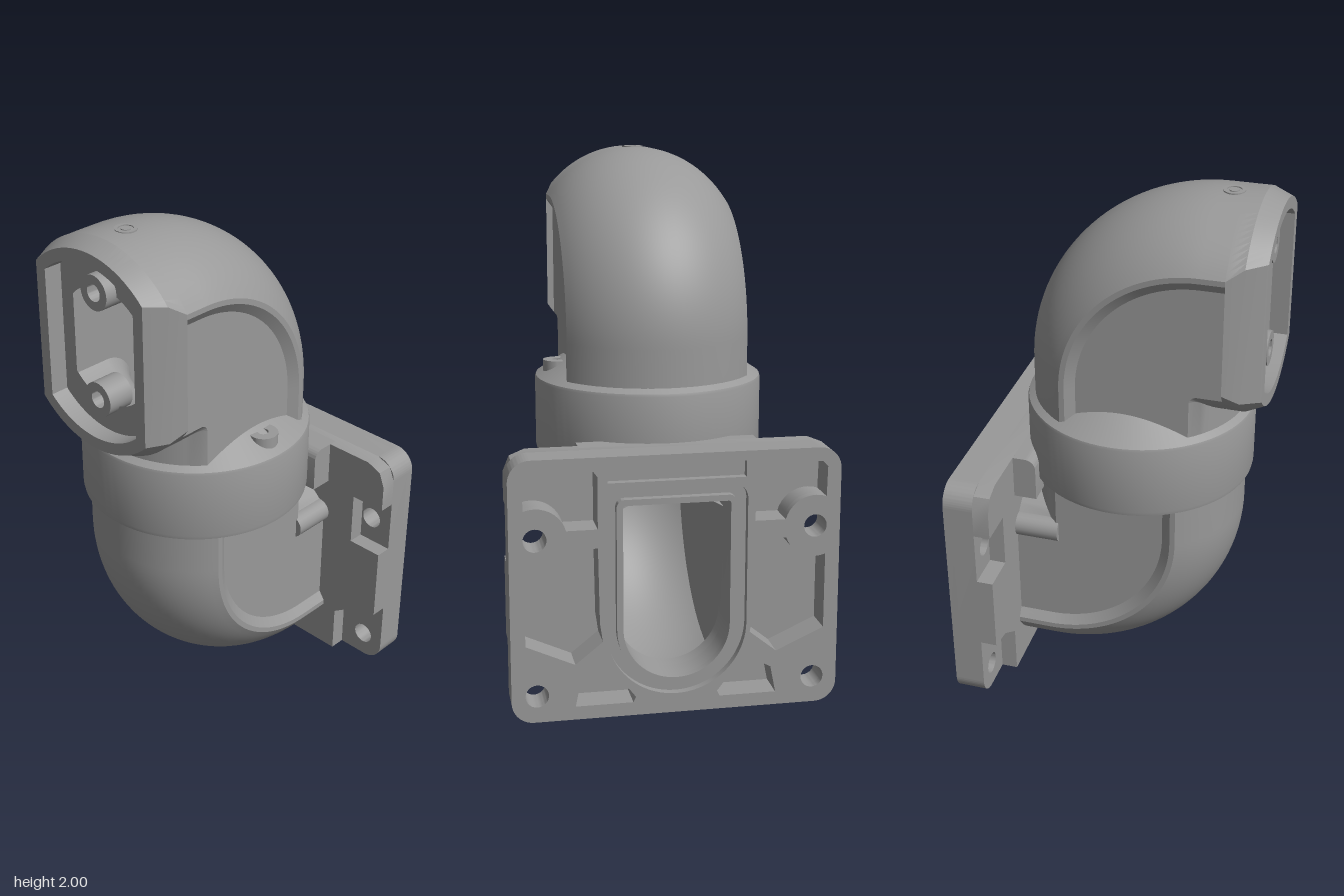
import * as THREE from 'three';
import { toCreasedNormals } from 'three/addons/utils/BufferGeometryUtils.js';

const AXIS = -0.045;   // x of the upright pipe axis
const BEND = 0.285;    // bend radius of both elbows
const MOUTH_Y = 1.59;  // height of the upper outlet axis

// Half-round arc of a pipe section as [u, z]; side +1 is the outside of the bend
function arc(rad, clip, side, n = 28) {
  const a = Math.asin(clip / rad), pts = [];
  for (let i = 0; i <= n; i++) {
    const t = side * (a - (2 * a * i) / n);
    pts.push([side * rad * Math.cos(t), rad * Math.sin(t)]);
  }
  return pts;
}
// Circle cut off by two flat sides
const section = (rad, clip) => [...arc(rad, clip, 1), ...arc(rad, clip, -1)];
// The same with the flats sunk behind a lip on the outside of the bend
const lippedSection = () => [
  ...arc(0.405, 0.34, 1), [0.2, -0.34], [0.165, -0.315],
  ...arc(0.405, 0.315, -1), [0.165, 0.315], [0.2, 0.34],
];

// Skin over a list of closed rings
function loft(rings) {
  const n = rings[0].length, pos = [], idx = [];
  rings.forEach(r => r.forEach(p => pos.push(...p)));
  for (let i = 0; i < rings.length - 1; i++) {
    for (let j = 0; j < n; j++) {
      const a = i * n + j, b = i * n + (j + 1) % n;
      idx.push(a, b, b + n, a, b + n, a + n);
    }
  }
  const g = new THREE.BufferGeometry();
  g.setAttribute('position', new THREE.Float32BufferAttribute(pos, 3));
  g.setIndex(idx);
  return toCreasedNormals(g, 0.4);
}

// Quarter bend whose inner side meets in a mitre; s = 1 upper, -1 lower
function elbow(sec, cx, cy, s, yStart, xEnd, steps = 32) {
  const rings = [sec.map(([u, z]) => [cx + s * (BEND + u), yStart, z])];
  for (let i = 0; i <= steps; i++) {
    const t = (Math.PI / 2) * (i / steps), c = Math.cos(t), d = Math.sin(t);
    rings.push(sec.map(([u, z]) => {
      const r = BEND + u;
      return r >= 0 ? [cx + s * r * c, cy + s * r * d, z] : [cx + s * r, cy + s * r, z];
    }));
  }
  rings.push(sec.map(([u, z]) => {
    const corner = cx + s * Math.min(BEND + u, 0);
    return [s > 0 ? Math.min(xEnd, corner) : Math.max(xEnd, corner), cy + s * (BEND + u), z];
  }));
  return loft(rings);
}

// Flange outlines, drawn with z across and y up
const BOLT_Z = 0.508, BOLT_YS = [0.1, 0.68];
const path = (pts, m = 1) => new THREE.Path(pts.map(([z, y]) => new THREE.Vector2(z * m, y)));
function bossArc(from, to) {
  const pts = [];
  for (let i = 0; i <= 10; i++) {
    const t = THREE.MathUtils.degToRad(from + ((to - from) * i) / 10);
    pts.push([BOLT_Z + 0.115 * Math.cos(t), 0.68 + 0.115 * Math.sin(t)]);
  }
  return pts;
}
function plateOutline() {
  const s = new THREE.Shape(), r = 0.08, w = 0.6, h = 0.97;
  s.absarc(w - r, r, r, -Math.PI / 2, 0);
  s.absarc(w - r, h - r, r, 0, Math.PI / 2);
  s.absarc(r - w, h - r, r, Math.PI / 2, Math.PI);
  s.absarc(r - w, r, r, Math.PI, Math.PI * 1.5);
  s.closePath();
  return s;
}
function uOutline(r, top, corner, Type = THREE.Path) {
  const s = new Type();
  s.absarc(0, 0.33, r, Math.PI, Math.PI * 2);
  s.absarc(r - corner, top - corner, corner, 0, Math.PI / 2);
  s.absarc(corner - r, top - corner, corner, Math.PI / 2, Math.PI);
  s.closePath();
  return s;
}
function ringShape(outer, inner) {
  const s = new THREE.Shape().absarc(0, 0, outer, 0, Math.PI * 2);
  s.holes.push(new THREE.Path().absarc(0, 0, inner, 0, Math.PI * 2));
  return s;
}
// Bolt holes and weight-saving pockets on both sides
function flangeHoles() {
  const holes = [];
  for (const m of [1, -1]) {
    for (const y of BOLT_YS) {
      holes.push(new THREE.Path().absarc(m * BOLT_Z, y, 0.042, 0, Math.PI * 2));
    }
    holes.push(path([[0.55, 0.9], [0.53, 0.92], [0.3, 0.92], [0.285, 0.9], [0.285, 0.71], ...bossArc(165, 70)], m));
    holes.push(path([[0.285, 0.64], [0.28, 0.36], [0.27, 0.29], [0.37, 0.21], [0.547, 0.29], ...bossArc(290, 200)], m));
    holes.push(path([[0.25, 0.2], [0.35, 0.15], [0.37, 0.05], [0.16, 0.05], [0.15, 0.07]], m));
  }
  return holes;
}

export function createModel() {
  const model = new THREE.Group();
  const grey = new THREE.MeshStandardMaterial({ color: 0x999999, side: THREE.DoubleSide });
  grey.name = 'grey metal';
  const add = (name, geo, x = 0, y = 0, z = 0) => {
    const mesh = new THREE.Mesh(geo, grey);
    mesh.name = name;
    mesh.position.set(x, y, z);
    model.add(mesh);
    return mesh;
  };
  // Extrude a z/y outline along x
  const slab = (name, shape, x0, x1, y = 0, z = 0) => {
    const g = new THREE.ExtrudeGeometry(shape, { depth: x1 - x0, bevelEnabled: false, curveSegments: 20 });
    add(name, toCreasedNormals(g.rotateY(Math.PI / 2), 0.5), x0, y, z);
  };

  // Elbows, outside and inside
  const up = [AXIS - BEND, MOUTH_Y - BEND, 1], low = [AXIS + BEND, 0.7, -1];
  add('upperElbow', elbow(lippedSection(), ...up, 1.0, -0.42));
  add('upperElbowBore', elbow(section(0.24, 0.17), ...up, 1.06, -0.478));
  add('lowerElbow', elbow(lippedSection(), ...low, 1.0, 0.4));
  add('lowerElbowBore', elbow(section(0.375, 0.195), ...low, 1.04, 0.43));

  // Upper outlet: floor, pocket wall, rim and tapered outside
  const mouth = [
    [-0.48, 0.22, 0.16], [-0.48, 0.33, 0.22], [-0.55, 0.33, 0.22], [-0.55, 0.375, 0.265],
    [-0.48, 0.405, 0.312], [-0.42, 0.405, 0.34], [-0.42, 0.38, 0.28],
  ];
  add('outletRim', loft(mouth.map(([x, rad, clip]) =>
    section(rad, clip).map(([u, z]) => [x, MOUTH_Y + u, z]))));
  for (const dy of [0.22, -0.19]) {
    slab('outletScrewBoss', ringShape(0.065, 0.032), -0.525, -0.42, MOUTH_Y + dy);
  }

  // Swivel collar with sloped shoulders
  const collar = [[0.3, 0.775], [0.43, 0.865], [0.433, 0.88], [0.433, 1.14], [0.43, 1.15], [0.3, 1.235]]
    .map(p => new THREE.Vector2(...p));
  add('collar', toCreasedNormals(new THREE.LatheGeometry(collar, 72), 0.4), AXIS);
  add('collarPartition', new THREE.CylinderGeometry(0.4, 0.4, 0.02, 48), AXIS, 1.05);

  // Set screws on the collar and on the crown
  const stud = (name, r, hole, h, x, y, z) => {
    const g = new THREE.ExtrudeGeometry(ringShape(r, hole), { depth: h, bevelEnabled: false, curveSegments: 20 });
    add(name, toCreasedNormals(g.rotateX(-Math.PI / 2), 0.5), x, y, z);
  };
  stud('collarScrewBoss', 0.055, 0.02, 0.09, AXIS, 1.122, 0.348);
  add('collarScrew', new THREE.CylinderGeometry(0.021, 0.021, 0.07, 20), AXIS, 1.16, 0.365);
  stud('crownScrewRing', 0.04, 0.027, 0.02, -0.37, 1.978, 0);
  add('crownScrew', new THREE.CylinderGeometry(0.018, 0.018, 0.02, 20), -0.37, 1.988, 0);

  // Flange: notched back layer, pocketed middle, grooved face
  const half = [
    [0.4, 0], [0.4, 0.19], [0.5, 0.26], [0.6, 0.28], [0.6, 0.575], [0.46, 0.575],
    [0.46, 0.785], [0.6, 0.785], [0.6, 0.89], [0.577, 0.947], [0.52, 0.97],
  ];
  const back = new THREE.Shape([...half, ...half.map(([z, y]) => [-z, y]).reverse()]
    .map(p => new THREE.Vector2(...p)));
  back.holes.push(uOutline(0.195, 0.79, 0.01));
  slab('flangeBack', back, 0.368, 0.43);

  const middle = plateOutline();
  middle.holes.push(...flangeHoles(), uOutline(0.195, 0.79, 0.01));
  slab('flangeBody', middle, 0.43, 0.515);

  const face = plateOutline();
  face.holes.push(...flangeHoles(), uOutline(0.257, 0.855, 0.06),
    path([[-0.25, 0.875], [0.25, 0.875], [0.25, 0.935], [-0.25, 0.935]]));
  slab('flangeFace', face, 0.515, 0.545);

  const lip = uOutline(0.218, 0.812, 0.03, THREE.Shape);
  lip.holes.push(uOutline(0.195, 0.79, 0.01));
  slab('openingLip', lip, 0.515, 0.545);

  // Block joining the flange top to the pipe
  const block = new THREE.Shape();
  block.moveTo(0.28, 0.8).lineTo(0.4, 0.8).lineTo(0.4, 0.97).lineTo(0.32, 0.97);
  block.absarc(0.32, 0.93, 0.04, Math.PI / 2, Math.PI);
  block.closePath();
  add('flangeBridge', toCreasedNormals(new THREE.ExtrudeGeometry(block, { depth: 0.66, bevelEnabled: false }), 0.5), 0, 0, -0.33);

  // Side ribs running into the flange
  for (const m of [1, -1]) {
    const rib = add('sideRib', new THREE.CylinderGeometry(0.048, 0.048, 0.18, 24), 0.29, 0.65, m * 0.292);
    rib.rotation.z = Math.PI / 2;
  }
  return model;
}
